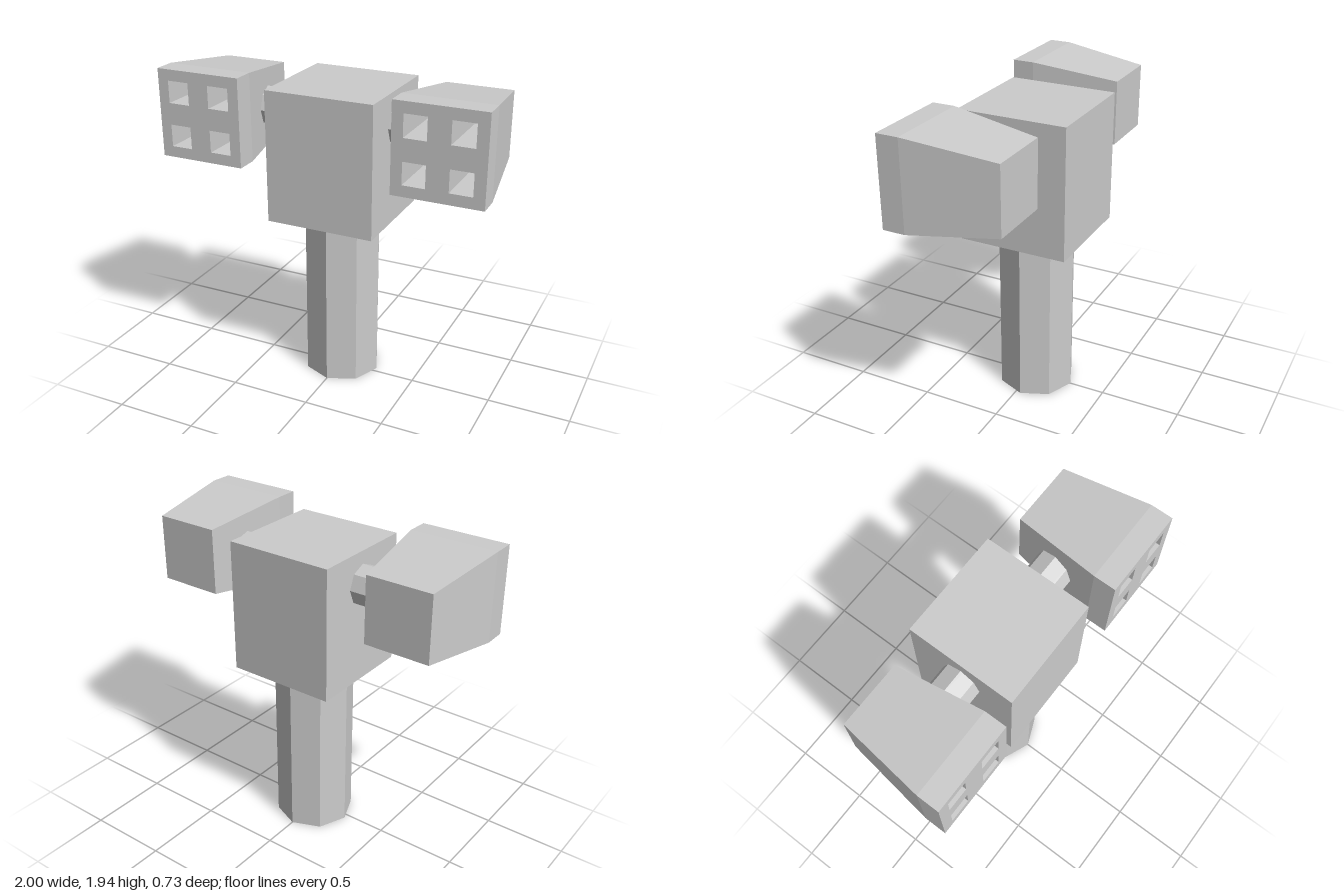
import * as THREE from 'three';

const grey = new THREE.MeshStandardMaterial({ color: 0xcccccc });
grey.name = 'grey';

function addMesh(parent, name, geometry, x = 0, y = 0, z = 0) {
  const mesh = new THREE.Mesh(geometry, grey);
  mesh.name = name;
  mesh.position.set(x, y, z);
  parent.add(mesh);
  return mesh;
}

// Eight-sided prism with flat faces
function octagon(radius, length) {
  const g = new THREE.CylinderGeometry(radius, radius, length, 8).toNonIndexed();
  g.computeVertexNormals();
  return g;
}

// Square tube through sections [z, half size], front to back, closed at the back.
// With inward = true the faces look into the tube.
function squareTube(sections, inward = false) {
  const rings = sections.map(([z, h]) => [[-h, -h, z], [h, -h, z], [h, h, z], [-h, h, z]]);
  const pos = [];
  const tri = (a, b, c) => pos.push(...a, ...(inward ? c : b), ...(inward ? b : c));
  for (let s = 0; s < rings.length - 1; s++) {
    const a = rings[s], b = rings[s + 1];
    for (let i = 0; i < 4; i++) {
      const j = (i + 1) % 4;
      tri(a[i], b[i], a[j]);
      tri(a[j], b[i], b[j]);
    }
  }
  const e = rings[rings.length - 1];
  tri(e[0], e[2], e[1]);
  tri(e[0], e[3], e[2]);
  const g = new THREE.BufferGeometry();
  g.setAttribute('position', new THREE.Float32BufferAttribute(pos, 3));
  g.computeVertexNormals();
  return g;
}

function squarePath(path, x, y, h) {
  path.moveTo(x - h, y - h);
  path.lineTo(x + h, y - h);
  path.lineTo(x + h, y + h);
  path.lineTo(x - h, y + h);
  path.closePath();
  return path;
}

// Launcher pod: tapered shell, pierced front face and four square tubes
function createPod(name, x) {
  const front = 0.367, half = 0.267, offset = 0.133, hole = 0.067;
  const pod = new THREE.Group();
  pod.name = name;
  pod.position.set(x, 1.67, 0);
  addMesh(pod, 'podShell', squareTube([[front, half], [0.233, half], [-0.3, 0.2]]));
  const face = squarePath(new THREE.Shape(), 0, 0, half);
  for (const sx of [-1, 1]) {
    for (const sy of [-1, 1]) {
      face.holes.push(squarePath(new THREE.Path(), sx * offset, sy * offset, hole));
      addMesh(pod, 'launchTube', squareTube([[front, hole], [-0.033, hole]], true),
        sx * offset, sy * offset, 0);
    }
  }
  addMesh(pod, 'podFace', new THREE.ShapeGeometry(face), 0, 0, front);
  return pod;
}

export function createModel() {
  const model = new THREE.Group();
  model.name = 'turret';
  const z = -0.033;
  addMesh(model, 'column', octagon(0.24, 1.07), 0, 0.535, z);
  addMesh(model, 'body', new THREE.BoxGeometry(0.667, 0.8, 0.667), 0, 1.47, z);
  // Cross arm runs through the body into both pods
  addMesh(model, 'crossArm', octagon(0.12, 1.05), 0, 1.672, z).rotation.z = Math.PI / 2;
  model.add(createPod('leftPod', 0.733), createPod('rightPod', -0.733));
  return model;
}
